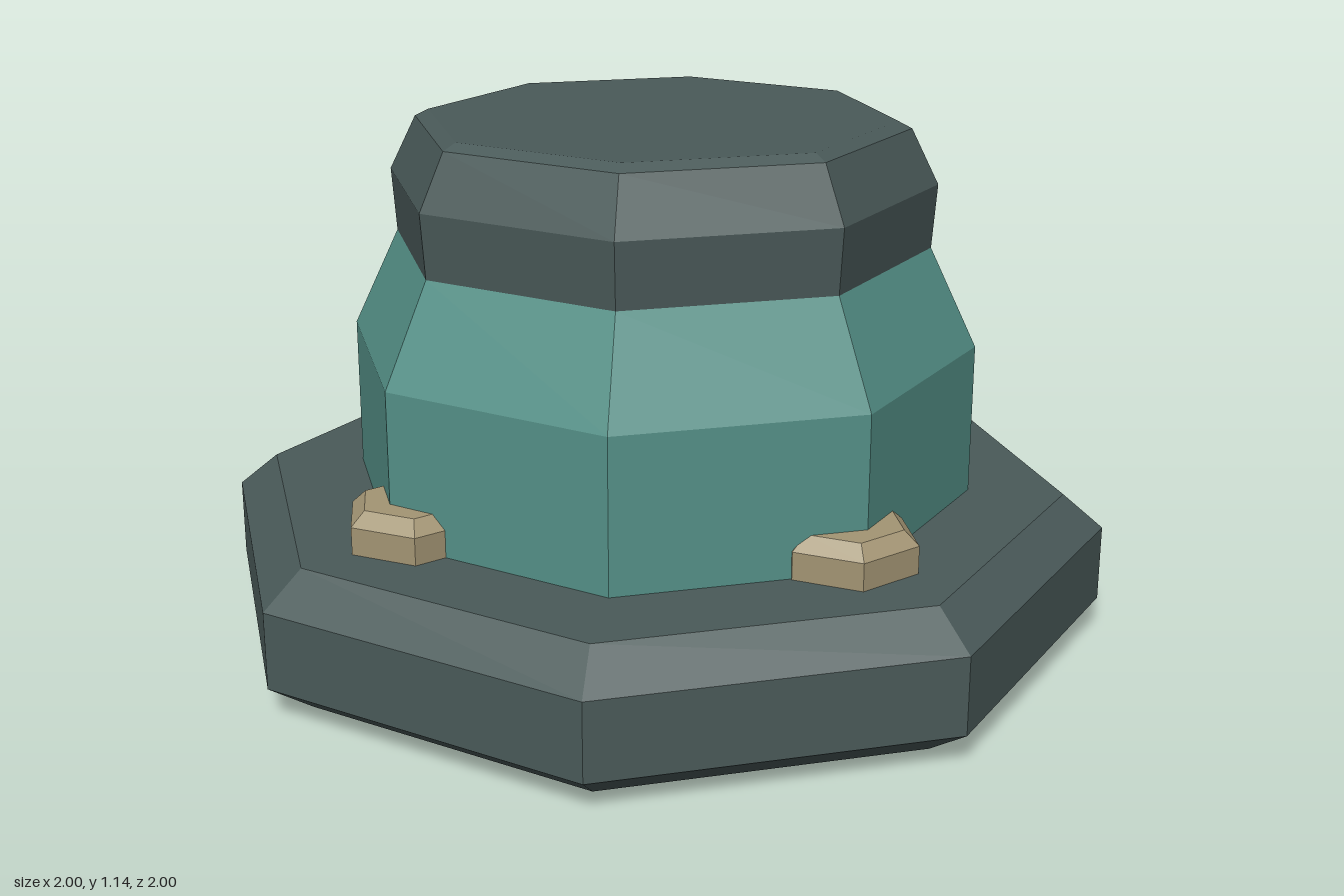
import * as THREE from 'three';

const material = (name, color) => {
  const m = new THREE.MeshStandardMaterial({ color, flatShading: true });
  m.name = name;
  return m;
};

// Faceted solid turned from a bottom-to-top profile of [radius, height]
function turned(name, profile, sides, mat) {
  const points = profile.map(([r, y]) => new THREE.Vector2(r, y));
  const mesh = new THREE.Mesh(new THREE.LatheGeometry(points, sides), mat);
  mesh.name = name;
  return mesh;
}

export function createModel() {
  const slate = material('dark slate', 0x4a5a59);
  const teal = material('teal', 0x559188);
  const tan = material('tan', 0xa39574);
  const model = new THREE.Group();
  model.name = 'pedestal';

  // Wide octagonal foot with chamfered edges
  model.add(turned('base', [[0, 0], [0.9, 0], [1, 0.07], [1, 0.24], [0.91, 0.315], [0, 0.315]], 8, slate));

  // Tapered drum
  model.add(turned('body', [[0.7, 0.31], [0.7, 0.65], [0.595, 0.87]], 8, teal));

  // Cap with a bevelled rim
  model.add(turned('cap', [[0.595, 0.87], [0.605, 1.01], [0.545, 1.13], [0.515, 1.145], [0, 1.145]], 8, slate));

  // Four hexagonal bolts half sunk into the drum, corners pointing along x
  for (let i = 0; i < 4; i++) {
    const a = (i * Math.PI) / 2;
    const bolt = turned('bolt', [[0.15, 0.31], [0.15, 0.375], [0.117, 0.405], [0, 0.405]], 6, tan);
    bolt.position.set(Math.sin(a) * 0.643, 0, Math.cos(a) * 0.643);
    bolt.rotation.y = Math.PI / 2;
    model.add(bolt);
  }
  return model;
}
